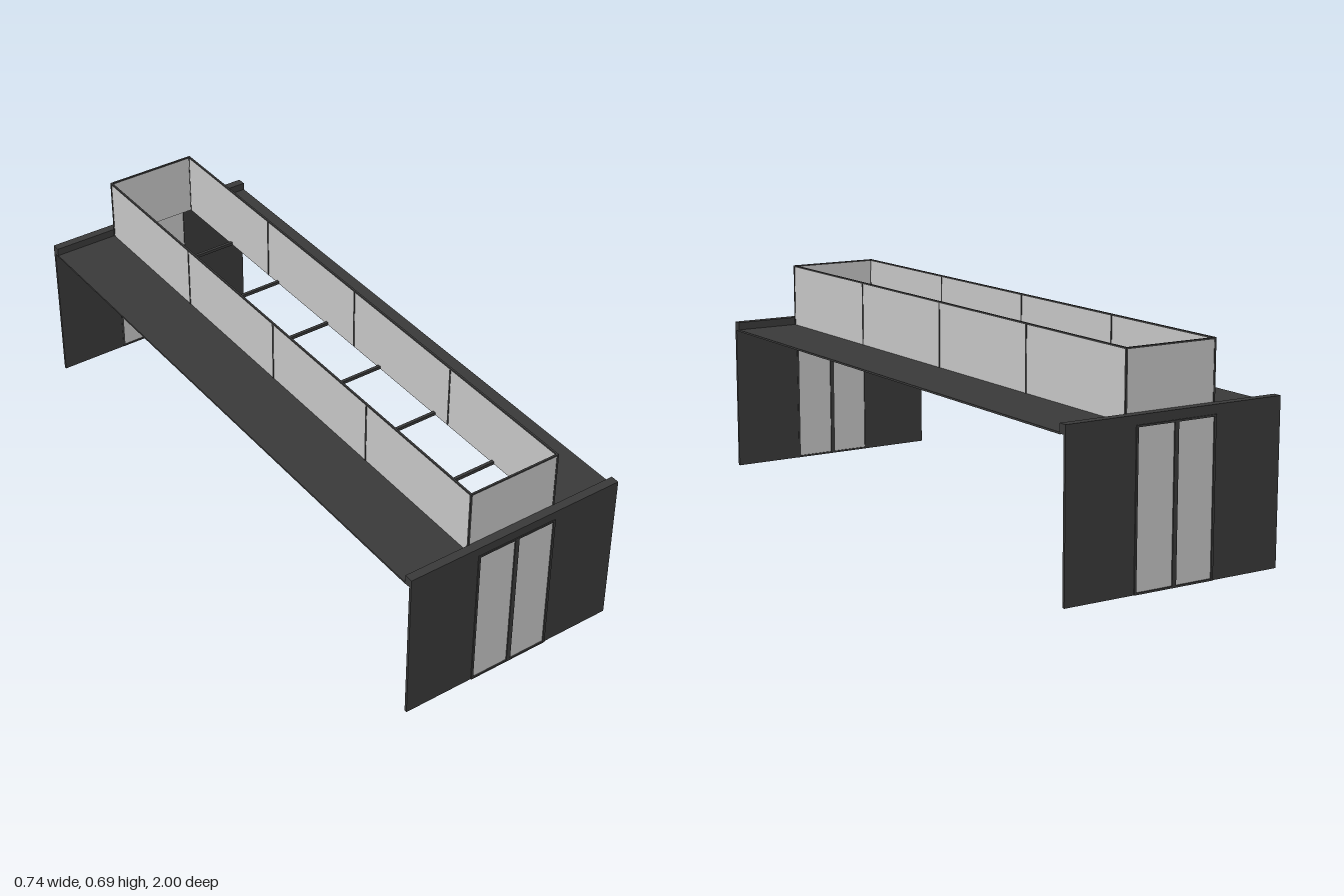
import * as THREE from 'three';

export function createModel() {
  const model = new THREE.Group();
  const dark = new THREE.MeshStandardMaterial({ color: 0x3a3a3a });
  dark.name = 'dark metal';
  const glass = new THREE.MeshStandardMaterial({ color: 0xc8c8c8 });
  glass.name = 'pale glass';

  // Box given by its min and max on each axis
  function box(parent, name, mat, [x0, x1], [y0, y1], [z0, z1]) {
    const mesh = new THREE.Mesh(new THREE.BoxGeometry(x1 - x0, y1 - y0, z1 - z0), mat);
    mesh.position.set((x0 + x1) / 2, (y0 + y1) / 2, (z0 + z1) / 2);
    mesh.name = name;
    parent.add(mesh);
  }

  // End wall with double glass door, built facing +z
  function endWall(name) {
    const g = new THREE.Group();
    g.name = name;
    const shape = new THREE.Shape();
    [[-0.368, 0], [-0.137, 0], [-0.137, 0.477], [0.137, 0.477], [0.137, 0], [0.368, 0], [0.368, 0.505], [-0.368, 0.505]]
      .forEach(([x, y], i) => (i ? shape.lineTo(x, y) : shape.moveTo(x, y)));
    const wall = new THREE.Mesh(new THREE.ExtrudeGeometry(shape, { depth: 0.009, bevelEnabled: false }), dark);
    wall.position.z = 0.988;
    wall.name = 'wallPanel';
    g.add(wall);
    // Parapet lip along the inside top edge
    box(g, 'parapet', dark, [-0.368, 0.368], [0.476, 0.505], [0.969, 0.988]);
    // Door frame and leaves
    const fz = [0.987, 1];
    for (const s of [-1, 1]) {
      const xs = [s * 0.13, s * 0.137].sort((a, b) => a - b);
      box(g, 'doorJamb', dark, xs, [0, 0.477], fz);
      const gx = [s * 0.007, s * 0.13].sort((a, b) => a - b);
      box(g, 'doorGlass', glass, gx, [0.006, 0.472], [0.99, 0.996]);
    }
    box(g, 'doorMullion', dark, [-0.007, 0.007], [0, 0.477], fz);
    box(g, 'doorHead', dark, [-0.13, 0.13], [0.471, 0.477], fz);
    box(g, 'doorSill', dark, [-0.13, 0.13], [0, 0.006], fz);
    model.add(g);
    return g;
  }
  endWall('frontWall');
  endWall('backWall').rotation.y = Math.PI;

  // Roof decks either side of the central opening
  box(model, 'leftDeck', dark, [0.15, 0.368], [0.474, 0.48], [-0.97, 0.97]);
  box(model, 'rightDeck', dark, [-0.368, -0.15], [0.474, 0.48], [-0.97, 0.97]);

  // Open grid of bars in the opening
  const grid = new THREE.Group();
  grid.name = 'openingGrid';
  model.add(grid);
  box(grid, 'longBar', dark, [-0.005, 0.005], [0.474, 0.484], [-0.97, 0.97]);
  for (const z of [-0.707, -0.426, -0.145, 0.137, 0.418, 0.7]) {
    box(grid, 'crossBar', dark, [-0.15, 0.15], [0.474, 0.484], [z - 0.005, z + 0.005]);
  }

  // Glazed upstand around the opening, with thin frames
  const upstand = new THREE.Group();
  upstand.name = 'glazedUpstand';
  model.add(upstand);
  for (const s of [-1, 1]) {
    const x = s * 0.151, z = s * 0.967;
    box(upstand, 'sideGlass', glass, [x - 0.0015, x + 0.0015], [0.476, 0.682], [-0.967, 0.967]);
    box(upstand, 'endGlass', glass, [-0.15, 0.15], [0.476, 0.682], [z - 0.0015, z + 0.0015]);
    box(upstand, 'sideTopRail', dark, [x - 0.003, x + 0.003], [0.682, 0.687], [-0.97, 0.97]);
    box(upstand, 'endTopRail', dark, [-0.148, 0.148], [0.682, 0.687], [z - 0.003, z + 0.003]);
    for (const pz of [-0.967, -0.483, 0, 0.483, 0.967]) {
      box(upstand, 'post', dark, [x - 0.003, x + 0.003], [0.476, 0.682], [pz - 0.003, pz + 0.003]);
    }
  }
  return model;
}
